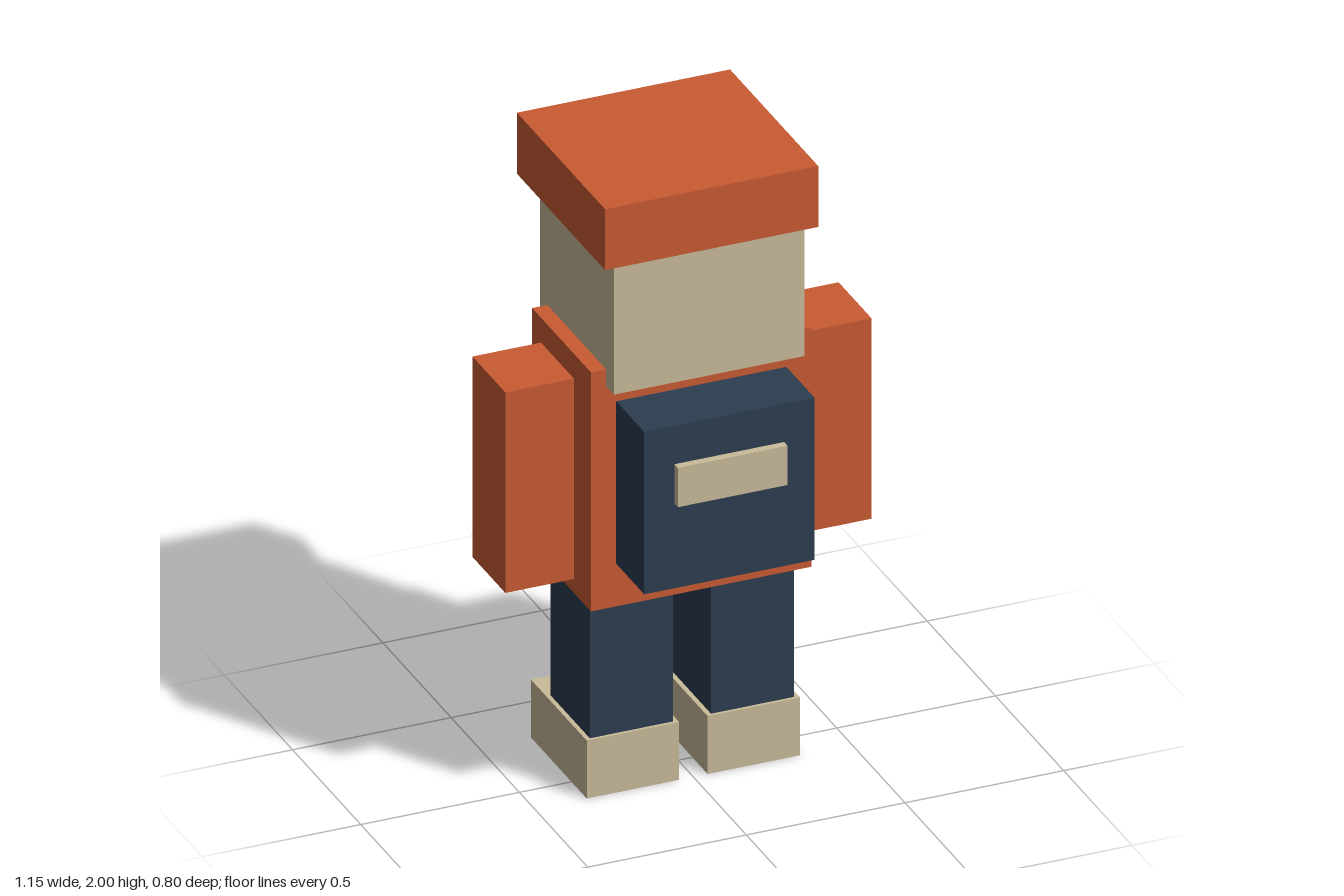
import * as THREE from 'three';

const material = (name, color) => {
  const m = new THREE.MeshStandardMaterial({ color });
  m.name = name;
  return m;
};

export function createModel() {
  const orange = material('orange', 0xc95b33);
  const tan = material('tan', 0xc9bb9a);
  const navy = material('navy', 0x2c3e50);

  const model = new THREE.Group();
  model.name = 'blockFigure';

  // Box given by its extents along each axis
  const box = (name, mat, [x0, x1], [y0, y1], [z0, z1]) => {
    const mesh = new THREE.Mesh(new THREE.BoxGeometry(x1 - x0, y1 - y0, z1 - z0), mat);
    mesh.position.set((x0 + x1) / 2, (y0 + y1) / 2, (z0 + z1) / 2);
    mesh.name = name;
    model.add(mesh);
  };
  const centred = (name, mat, half, y, z) => box(name, mat, [-half, half], y, z);
  const pair = (name, mat, [x0, x1], y, z) => {
    box('left' + name, mat, [x0, x1], y, z);
    box('right' + name, mat, [-x1, -x0], y, z);
  };

  // Body and head
  centred('torso', orange, 0.348, [0.645, 1.43], [-0.26, 0.17]);
  centred('head', tan, 0.3, [1.375, 1.8], [-0.315, 0.228]);
  centred('hat', orange, 0.336, [1.8, 2], [-0.4, 0.246]);
  centred('visor', navy, 0.237, [1.6, 1.773], [-0.357, -0.31]);

  // Pack with its pocket
  centred('pack', navy, 0.268, [0.785, 1.318], [0.165, 0.375]);
  centred('packPocket', tan, 0.173, [1.063, 1.192], [0.37, 0.4]);

  // Limbs
  pair('Arm', orange, [0.361, 0.577], [0.708, 1.366], [-0.165, 0.076]);
  pair('Leg', navy, [0.06, 0.322], [0.19, 0.65], [-0.187, 0.102]);
  pair('Foot', tan, [0.045, 0.336], [0, 0.19], [-0.297, 0.112]);

  return model;
}
